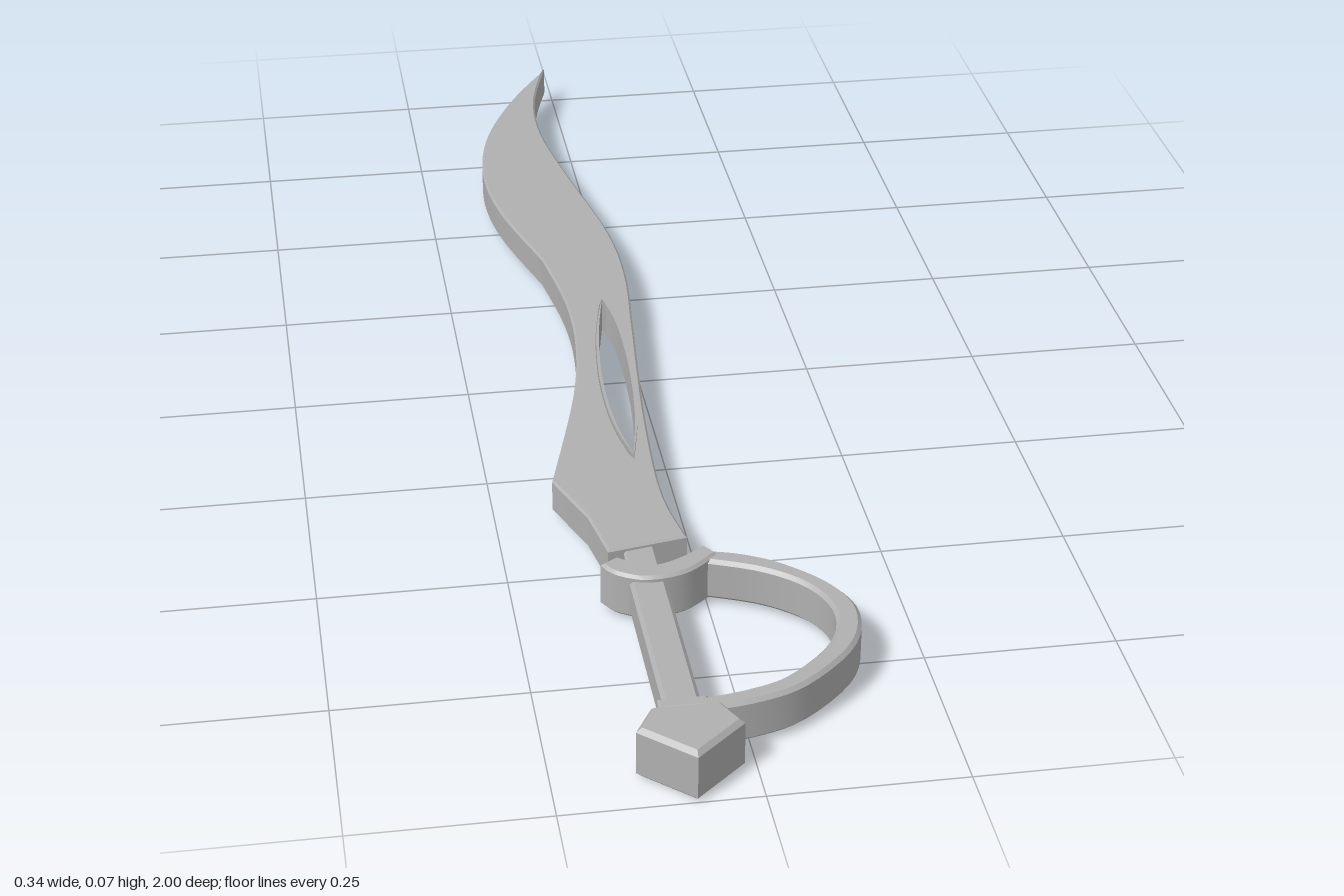
import * as THREE from 'three';
import { toCreasedNormals } from 'three/addons/utils/BufferGeometryUtils.js';

const steel = new THREE.MeshStandardMaterial({ color: 0xb0b0b0 });
steel.name = 'grey steel';

// Plan points are [x, z]; shapes are drawn with y = -z and laid flat.
const vec = (pts) => pts.map(([x, z]) => new THREE.Vector2(x, -z));

// Each run of points is either a smooth curve or straight lines, joined end to end.
function outline(start, ...runs) {
  const shape = new THREE.Shape();
  shape.moveTo(start[0], -start[1]);
  for (const { curve, lines } of runs) {
    if (curve) shape.splineThru(vec(curve));
    else vec(lines).forEach((p) => shape.lineTo(p.x, p.y));
  }
  return shape;
}

// Flat slab between heights y0 and y1 with a small chamfer inside the outline.
function slab(name, shape, y0, y1, bevel) {
  const geometry = new THREE.ExtrudeGeometry(shape, {
    depth: y1 - y0 - 2 * bevel,
    bevelEnabled: bevel > 0,
    bevelThickness: bevel,
    bevelSize: bevel,
    bevelOffset: -bevel,
    bevelSegments: 1,
    curveSegments: 4,
  });
  geometry.rotateX(-Math.PI / 2);
  geometry.translate(0, y0 + bevel, 0);
  const mesh = new THREE.Mesh(toCreasedNormals(geometry, 0.4), steel);
  mesh.name = name;
  return mesh;
}

const rect = (x0, x1, z0, z1) => outline([x0, z0], { lines: [[x0, z1], [x1, z1], [x1, z0]] });

// Slim leaf-shaped slot, grown by g on every side
const slot = (g) => outline([-0.034, -0.14 - g],
  { curve: [[-0.054 - g, -0.03], [-0.067 - g, 0.1], [-0.066 - g, 0.22], [-0.054, 0.31 + g]] },
  { curve: [[-0.036 + g, 0.2], [-0.025 + g, 0.07], [-0.024 + g, -0.06], [-0.034, -0.14 - g]] });

export function createModel() {
  const sword = new THREE.Group();
  sword.name = 'sword';

  // Recurved blade with a through slot
  const tip = [-0.013, -1];
  const bladeShape = outline(tip,
    { curve: [[-0.083, -0.88], [-0.14, -0.74], [-0.162, -0.6], [-0.15, -0.46], [-0.105, -0.29]] },
    { curve: [[-0.088, -0.15], [-0.09, -0.02], [-0.113, 0.13], [-0.172, 0.355]] },
    { lines: [[-0.137, 0.45], [-0.122, 0.537], [-0.015, 0.517]] },
    { curve: [[-0.03, 0.4], [-0.021, 0.19], [0, -0.05], [0.014, -0.22], [0.008, -0.37],
      [-0.028, -0.58], [-0.05, -0.74], [-0.045, -0.87], tip] });
  bladeShape.holes.push(slot(0.002));
  sword.add(slab('blade', bladeShape, 0.013, 0.061, 0.003));

  // Thin raised lip around the slot
  const lip = slot(0.004);
  lip.holes.push(slot(0));
  sword.add(slab('slotLip', lip, 0.016, 0.066, 0));

  // Neck, grip and collar
  sword.add(slab('neck', rect(-0.101, -0.06, 0.51, 0.61), 0.019, 0.055, 0.003));
  sword.add(slab('grip', rect(-0.105, -0.058, 0.6, 0.9), 0.013, 0.061, 0.005));
  sword.add(slab('collar', rect(-0.112, -0.05, 0.877, 0.897), 0.008, 0.066, 0.003));

  // Crescent crossguard
  const guardShape = outline([-0.138, 0.577],
    { curve: [[-0.12, 0.602], [-0.082, 0.619], [-0.03, 0.61], [0.016, 0.573]] },
    { lines: [[0, 0.55]] },
    { curve: [[-0.035, 0.575], [-0.075, 0.587], [-0.115, 0.562]] });
  sword.add(slab('crossguard', guardShape, 0.005, 0.069, 0.004));

  // Knuckle bow sweeping from crossguard to collar
  const bowShape = outline([-0.005, 0.558],
    { curve: [[0.045, 0.573], [0.095, 0.603], [0.148, 0.66], [0.17, 0.725], [0.147, 0.8],
      [0.075, 0.87], [0.01, 0.896], [-0.06, 0.905]] },
    { lines: [[-0.06, 0.88]] },
    { curve: [[0, 0.87], [0.055, 0.848], [0.118, 0.788], [0.138, 0.725], [0.118, 0.664],
      [0.065, 0.616], [-0.01, 0.583]] });
  sword.add(slab('knuckleBow', bowShape, 0.007, 0.066, 0.005));

  // Five-sided pommel
  const pommelShape = outline([-0.082, 1],
    { lines: [[-0.015, 0.94], [-0.037, 0.896], [-0.122, 0.896], [-0.147, 0.94]] });
  sword.add(slab('pommel', pommelShape, 0, 0.071, 0.006));

  return sword;
}
